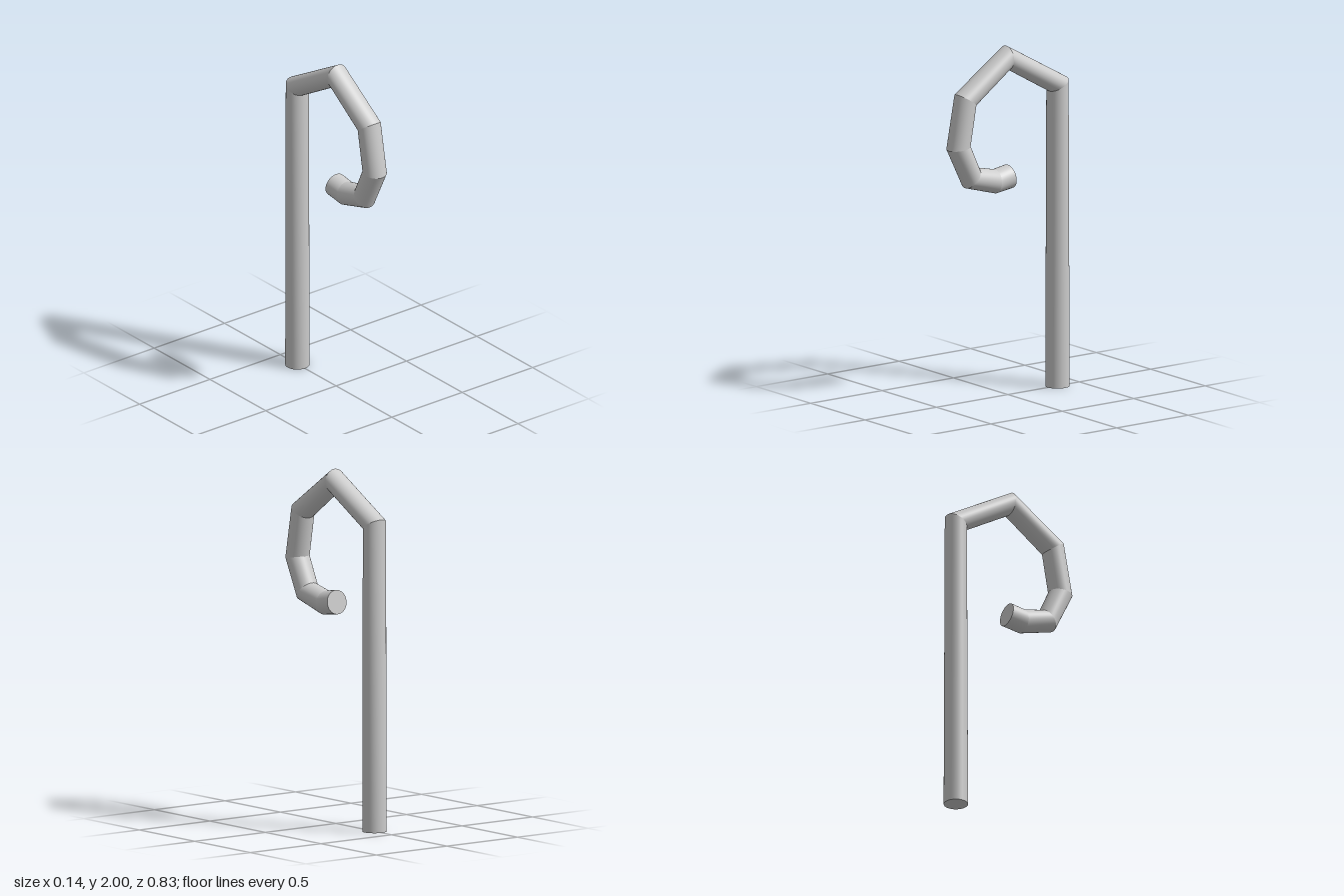
import * as THREE from 'three';

const RADIUS = 0.068;
const SIDES = 32;

// Centre line in the (z, y) plane: foot, up the stem, round the crook to the tip
const PATH = [
  [-0.347, 0], [-0.347, 1.73], [0.008, 1.932], [0.297, 1.73],
  [0.346, 1.463], [0.257, 1.278], [0.093, 1.235], [-0.009, 1.25],
].map(([z, y]) => new THREE.Vector2(z, y));

// Circular ring at a path point, lying in the plane that bisects the bend
function ring(i) {
  const p = PATH[i];
  const t = new THREE.Vector2();
  if (i > 0) t.add(p.clone().sub(PATH[i - 1]).normalize());
  if (i < PATH.length - 1) t.add(PATH[i + 1].clone().sub(p).normalize());
  t.normalize();
  return Array.from({ length: SIDES }, (_, j) => {
    const a = (j / SIDES) * Math.PI * 2;
    const s = RADIUS * Math.sin(a);
    return new THREE.Vector3(RADIUS * Math.cos(a), p.y + s * t.x, p.x - s * t.y);
  });
}

function meshFrom(points, index, name, material) {
  const geometry = new THREE.BufferGeometry().setFromPoints(points);
  geometry.setIndex(index);
  geometry.computeVertexNormals();
  const mesh = new THREE.Mesh(geometry, material);
  mesh.name = name;
  return mesh;
}

// Pipe wall between two rings, smooth around and sharp at the bends
function pipe(from, to, name, material) {
  const index = [];
  for (let j = 0; j < SIDES; j++) {
    const k = (j + 1) % SIDES;
    index.push(j, k, SIDES + j, k, SIDES + k, SIDES + j);
  }
  return meshFrom([...from, ...to], index, name, material);
}

// Flat disc closing an end of the pipe
function cap(points, flip, name, material) {
  const index = [];
  for (let j = 1; j < SIDES - 1; j++) {
    index.push(0, ...(flip ? [j + 1, j] : [j, j + 1]));
  }
  return meshFrom(points, index, name, material);
}

export function createModel() {
  const model = new THREE.Group();
  model.name = 'hookedCane';
  const material = new THREE.MeshStandardMaterial({ color: 0xcccccc });
  const rings = PATH.map((_, i) => ring(i));
  const last = rings.length - 1;

  // Straight stem with its foot
  model.add(pipe(rings[0], rings[1], 'stem', material));
  model.add(cap(rings[0], true, 'footCap', material));

  // Crook made of short straight lengths
  const crook = new THREE.Group();
  crook.name = 'crook';
  for (let i = 1; i < last; i++) {
    crook.add(pipe(rings[i], rings[i + 1], `crookSegment${i}`, material));
  }
  crook.add(cap(rings[last], false, 'tipCap', material));
  model.add(crook);

  return model;
}
